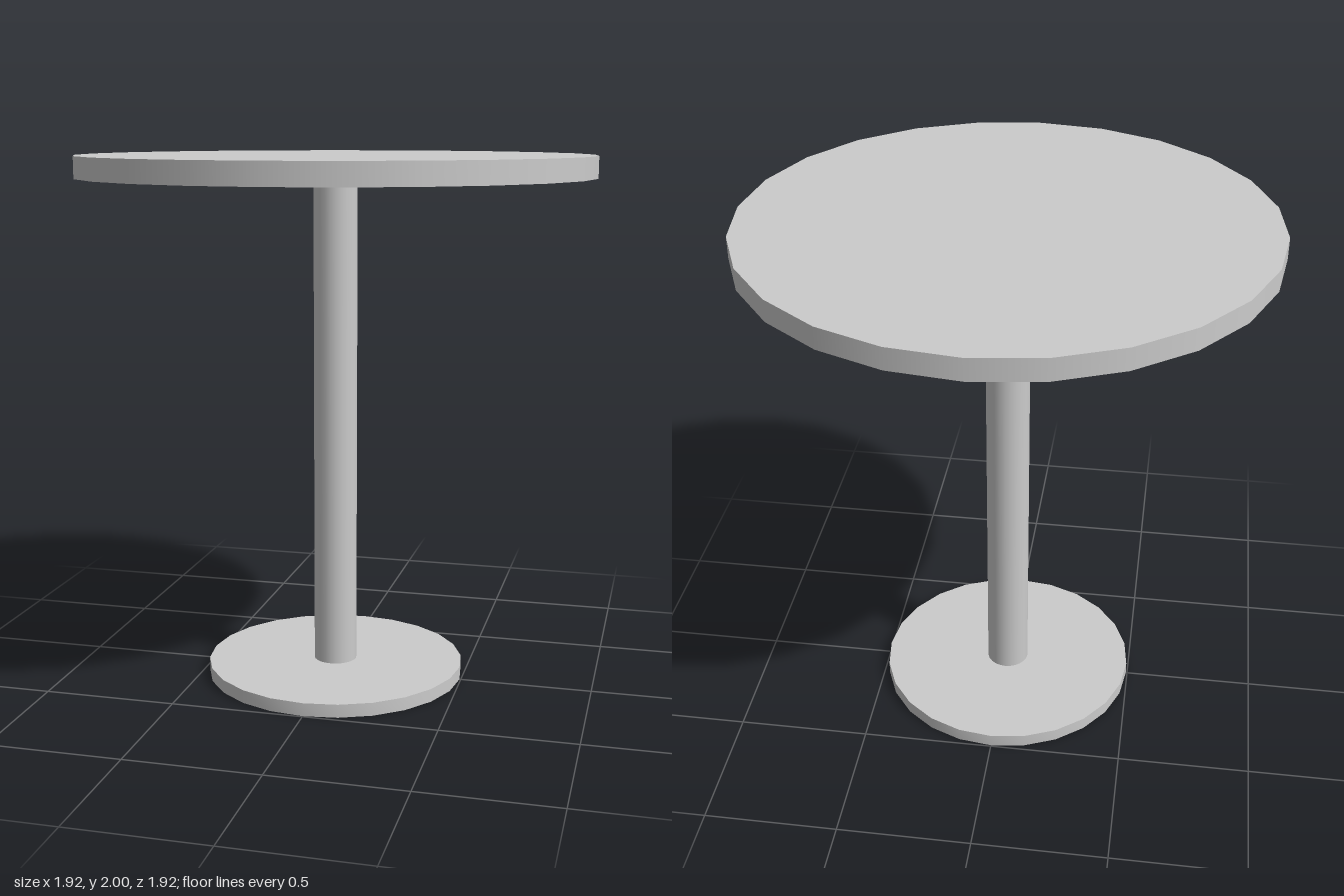
import * as THREE from 'three';
import { toCreasedNormals } from 'three/addons/utils/BufferGeometryUtils.js';

const SIDES = 24;
const TOP_RADIUS = 0.96, TOP_THICKNESS = 0.08;
const BASE_RADIUS = 0.495, BASE_THICKNESS = 0.05;
const POLE_RADIUS = 0.082, HEIGHT = 2;

export function createModel() {
  const group = new THREE.Group();
  const material = new THREE.MeshStandardMaterial({ color: 0xcccccc });

  const add = (name, geometry, y) => {
    const mesh = new THREE.Mesh(geometry, material);
    mesh.name = name;
    mesh.position.y = y;
    group.add(mesh);
  };
  const disc = (radius, height) => new THREE.CylinderGeometry(radius, radius, height, SIDES);

  // Round table top
  add('tableTop', disc(TOP_RADIUS, TOP_THICKNESS), HEIGHT - TOP_THICKNESS / 2);

  // Central pole, standing on the upper face of the base
  const poleHeight = HEIGHT - TOP_THICKNESS - BASE_THICKNESS;
  add('pole', disc(POLE_RADIUS, poleHeight), BASE_THICKNESS + poleHeight / 2);

  // Round base plate with a socket hole beneath the pole
  const plate = new THREE.Shape().absarc(0, 0, BASE_RADIUS, 0, Math.PI * 2, false);
  plate.holes.push(new THREE.Path().absarc(0, 0, POLE_RADIUS, 0, Math.PI * 2, true));
  const base = new THREE.ExtrudeGeometry(plate, {
    depth: BASE_THICKNESS, bevelEnabled: false, curveSegments: SIDES / 2,
  });
  base.rotateX(-Math.PI / 2);
  add('base', toCreasedNormals(base, 0.5), 0);

  return group;
}
